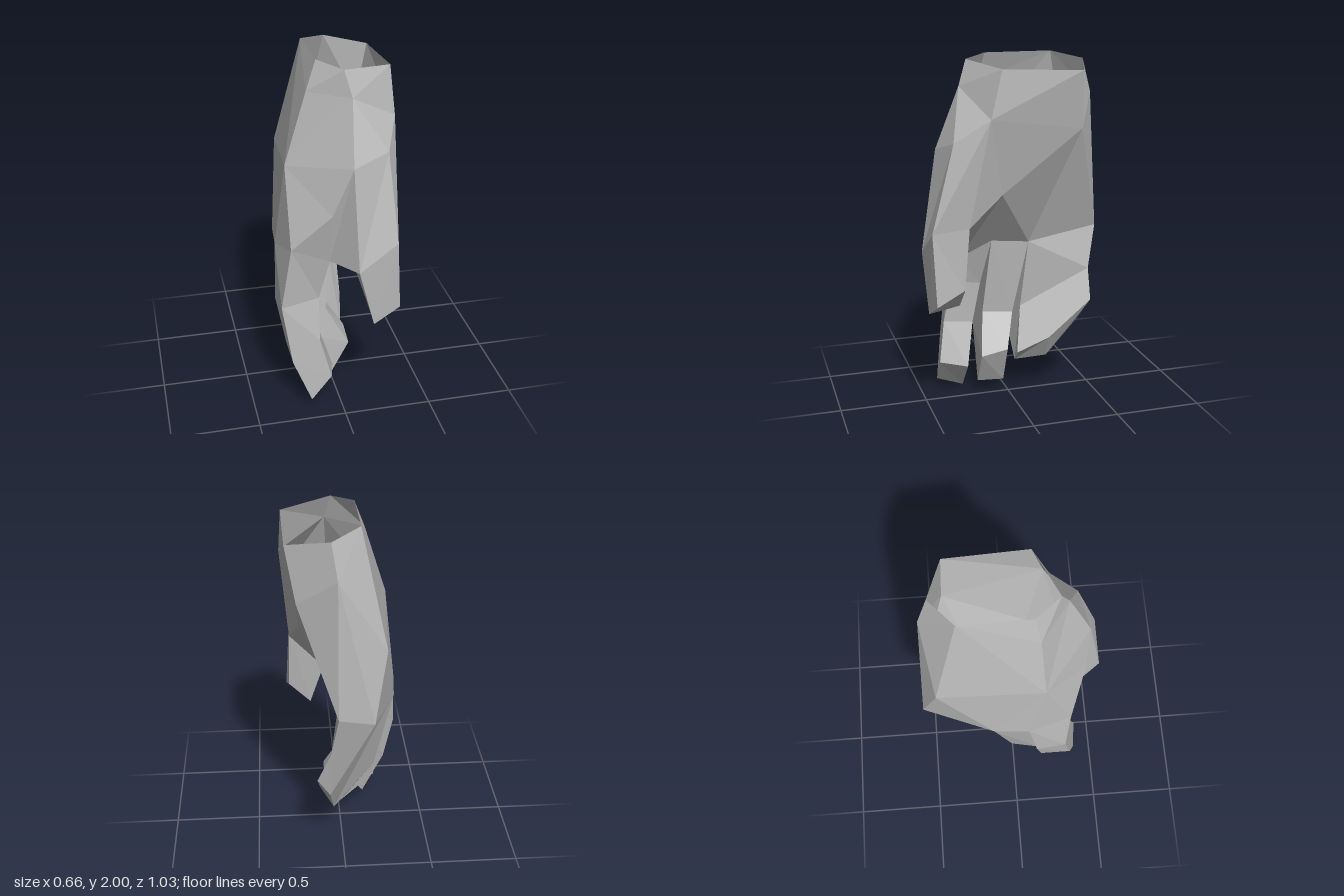
import * as THREE from 'three';

const skin = new THREE.MeshStandardMaterial({ color: 0xb8b8b8, flatShading: true, side: THREE.DoubleSide });
skin.name = 'plain grey';

// Shared corners of the hand
const P = {
  // open wrist rim
  rimA: [-0.09, 2, -0.275], rimB: [0.07, 1.97, -0.41], rimC: [0.305, 1.93, -0.33],
  rimD: [0.315, 1.95, 0.125], rimE: [0.035, 1.98, 0.25], rimF: [-0.085, 2, 0.11],
  // heel and back of the hand
  backLow: [-0.225, 1.36, -0.42], heel: [0.04, 1.78, -0.47], heelPalm: [0.25, 1.61, -0.35],
  mound: [0.33, 1.69, 0.19], wristFront: [0.07, 1.84, 0.3], wristBack: [-0.145, 1.84, 0.14],
  backMid: [-0.27, 1.44, 0.165], palmMid: [0.23, 1.26, 0.1],
  // knuckles and gaps between fingers
  knuckleTop: [-0.06, 1.23, 0.41], knuckle: [-0.27, 1, 0.32], web: [-0.06, 0.93, 0.35],
  gap1: [0, 0.94, 0.1], gap1Back: [-0.32, 0.93, 0.08],
  gap2: [0.01, 0.92, -0.12], gap2Back: [-0.3, 0.92, -0.12],
  edge: [0.04, 1, -0.515], edgeBack: [-0.155, 0.97, -0.515],
};
// Thumb corners
const T = {
  baseOut: [0.25, 1.56, 0.375], baseIn: [0.05, 1.5, 0.43],
  midOut: [0.28, 1.08, 0.505], midIn: [0.065, 0.93, 0.52],
  rearOut: [0.283, 1.1, 0.3], rearIn: [0.08, 0.88, 0.31],
  tipIn: [0.155, 0.59, 0.505], tipOut: [0.305, 0.675, 0.49],
  tipRearOut: [0.29, 0.755, 0.33], tipRearIn: [0.16, 0.625, 0.33],
};
// Corners of the two folded outer fingers
const R = {
  joint: [-0.02, 0.52, -0.08], jointEdge: [0.08, 0.75, -0.465],
  bend: [0.09, 0.27, -0.03], bendMid: [0.13, 0.36, -0.21], bendEdge: [0.155, 0.58, -0.455],
  tip: [-0.03, 0.18, -0.05], tipMid: [0.05, 0.22, -0.22], tipEdge: [0.08, 0.43, -0.39],
  side: [-0.2, 0.4, -0.04],
};
const points = { ...P, ...T, ...R };

// Mesh from flat polygons; a centre, if given, turns every face outward
function shell(name, polygons, centre) {
  const out = [];
  for (const poly of polygons) {
    let v = poly.map((p) => new THREE.Vector3(...p));
    if (centre) {
      const normal = new THREE.Vector3(), mid = new THREE.Vector3();
      v.forEach((p, i) => {
        normal.add(p.clone().cross(v[(i + 1) % v.length]));
        mid.addScaledVector(p, 1 / v.length);
      });
      if (normal.dot(mid.sub(new THREE.Vector3(...centre))) < 0) v = v.reverse();
    }
    for (let i = 1; i < v.length - 1; i++) {
      for (const p of [v[0], v[i], v[i + 1]]) out.push(p.x, p.y, p.z);
    }
  }
  const geo = new THREE.BufferGeometry();
  geo.setAttribute('position', new THREE.Float32BufferAttribute(out, 3));
  geo.computeVertexNormals();
  const mesh = new THREE.Mesh(geo, skin);
  mesh.name = name;
  return mesh;
}

const faces = (list) => list.map((s) => s.split(' ').map((n) => points[n]));

// Finger lofted through four-cornered sections, closed at the tip
function finger(name, sections) {
  const polys = [];
  for (let s = 0; s < sections.length - 1; s++) {
    const a = sections[s], b = sections[s + 1];
    for (let i = 0; i < 4; i++) {
      const j = (i + 1) % 4;
      polys.push([a[i], b[i], b[j], a[j]]);
    }
  }
  polys.push([...sections[sections.length - 1]].reverse());
  return shell(name, polys);
}

export function createModel() {
  const hand = new THREE.Group();
  hand.name = 'hand';

  hand.add(shell('palm', faces([
    // back of the hand
    'rimA rimF wristBack', 'rimA wristBack backMid', 'rimA backMid backLow',
    'backLow backMid gap2Back', 'backLow gap2Back edgeBack',
    'backMid gap1Back gap2Back', 'backMid knuckle gap1Back',
    // little finger side
    'rimA rimB heel', 'rimA heel backLow', 'rimB rimC heelPalm heel',
    'heel heelPalm edge', 'heel edge edgeBack', 'heel edgeBack backLow',
    // inner palm
    'rimC rimD mound', 'rimC mound heelPalm', 'mound palmMid heelPalm',
    'heelPalm palmMid gap2', 'heelPalm gap2 edge', 'palmMid gap1 gap2',
    'mound rearOut palmMid', 'palmMid rearOut rearIn gap1', 'web rearIn gap1',
    // front edge
    'rimE rimF wristBack wristFront', 'rimD rimE wristFront mound',
    'wristFront wristBack backMid', 'wristFront backMid baseIn',
    'baseIn backMid knuckleTop', 'backMid knuckle knuckleTop',
    'knuckleTop knuckle web', 'baseIn knuckleTop web',
  ]), [0.08, 1.35, 0]));

  hand.add(shell('thumb', faces([
    'mound wristFront baseOut', 'wristFront baseIn baseOut',
    'baseOut baseIn midIn midOut', 'mound baseOut midOut', 'mound midOut rearOut',
    'midOut midIn tipIn tipOut', 'midOut tipOut tipRearOut rearOut',
    'rearOut tipRearOut tipRearIn rearIn', 'midIn rearIn tipRearIn tipIn',
    'baseIn web midIn', 'web rearIn midIn', 'tipIn tipOut tipRearOut tipRearIn',
  ]), [0.18, 1.05, 0.38]));

  // Sections run front back-of-hand, front palm, rear palm, rear back-of-hand
  hand.add(finger('indexFinger', [
    [P.knuckle, P.web, P.gap1, P.gap1Back],
    [[-0.325, 0.63, 0.3], [-0.115, 0.68, 0.31], [-0.09, 0.66, 0.145], [-0.333, 0.6, 0.13]],
    [[-0.275, 0.29, 0.35], [-0.12, 0.43, 0.36], [-0.1, 0.42, 0.19], [-0.28, 0.31, 0.17]],
    [[-0.175, 0.05, 0.395], [-0.06, 0.2, 0.4], [-0.02, 0.17, 0.24], [-0.16, 0, 0.24]],
  ]));
  hand.add(finger('middleFinger', [
    [P.gap1Back, P.gap1, P.gap2, P.gap2Back],
    [[-0.25, 0.36, 0.15], [-0.04, 0.5, 0.145], [-0.03, 0.485, -0.035], [-0.2, 0.3, -0.01]],
    [[-0.01, 0.08, 0.185], [0.09, 0.27, 0.185], [0.095, 0.3, 0.03], [0, 0.075, 0.03]],
  ]));

  hand.add(shell('outerFingers', faces([
    'gap2 edge jointEdge', 'gap2 jointEdge joint',
    'joint jointEdge bendMid bend', 'jointEdge bendEdge bendMid',
    'bend bendMid tipMid tip', 'bendMid bendEdge tipEdge tipMid',
    'edge edgeBack tipEdge', 'edge tipEdge jointEdge', 'jointEdge tipEdge bendEdge',
    'gap2Back edgeBack tipEdge', 'gap2Back tipEdge tipMid', 'gap2Back tipMid side', 'side tipMid tip',
    'gap2Back gap2 joint side', 'side joint bend tip',
  ]), [-0.02, 0.6, -0.25]));

  return hand;
}
